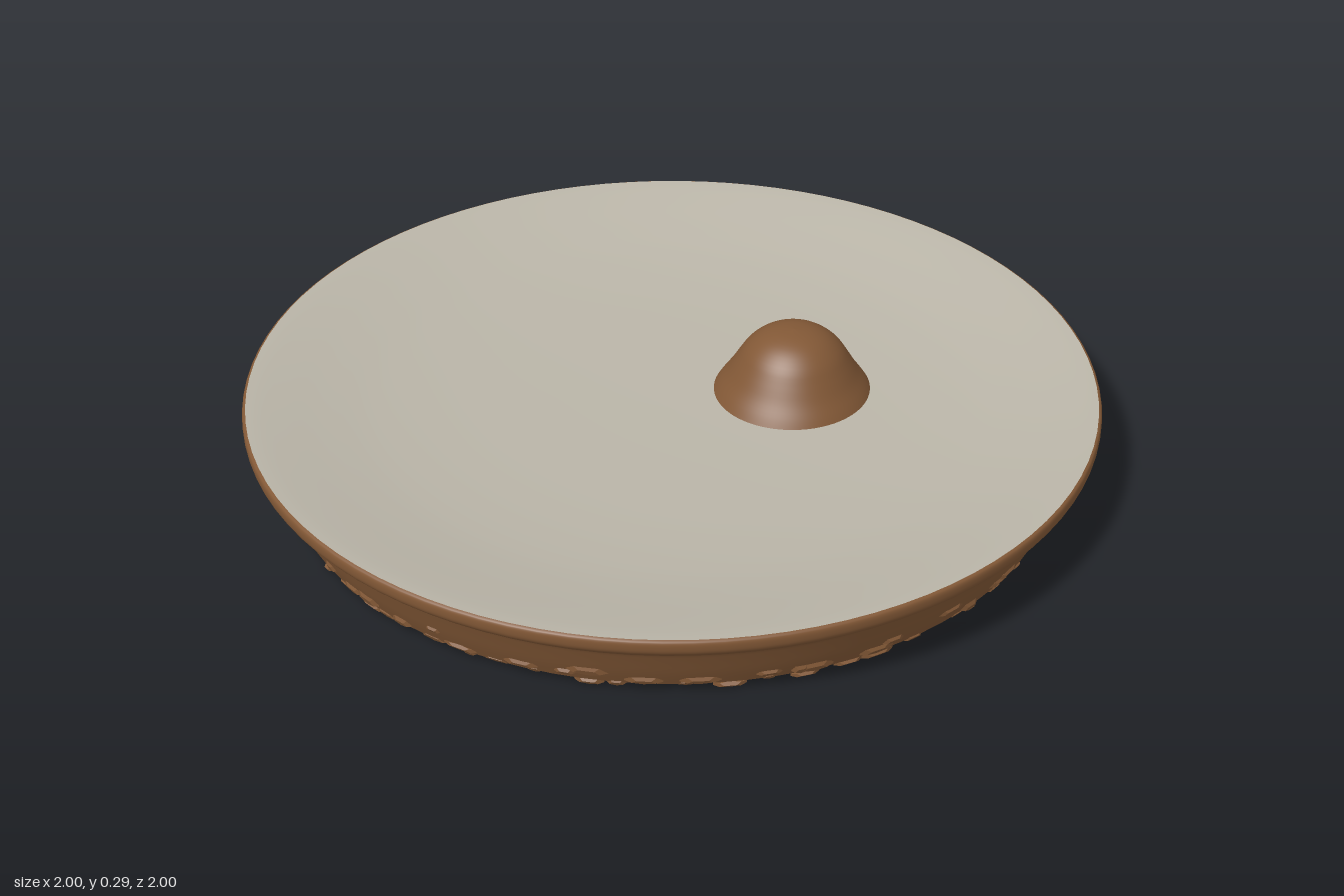
import * as THREE from 'three';

const SEGMENTS = 96;

const clay = new THREE.MeshStandardMaterial({ color: 0x825836 });
clay.name = 'brown clay';
const glaze = new THREE.MeshStandardMaterial({ color: 0xbab5a8 });
glaze.name = 'pale glaze';

// Seeded random numbers for the rough clay
function makeRandom(seed) {
  return () => {
    seed = (seed * 16807) % 2147483647;
    return seed / 2147483647;
  };
}

// Surface of revolution through a smooth curve of [radius, height] points.
// Points run upward for outer faces and inward for faces looking up.
function turned(name, points, material, divisions) {
  const curve = new THREE.SplineCurve(points.map(([r, y]) => new THREE.Vector2(r, y)));
  const mesh = new THREE.Mesh(new THREE.LatheGeometry(curve.getPoints(divisions), SEGMENTS), material);
  mesh.name = name;
  return mesh;
}

export function createModel() {
  const model = new THREE.Group();
  model.name = 'dish';
  const random = makeRandom(41);

  // Outer wall flaring up to a rolled rim
  model.add(turned('outerWall', [
    [0.908, 0.02], [0.926, 0.06], [0.945, 0.11], [0.957, 0.135],
    [0.982, 0.152], [0.997, 0.168], [1, 0.185], [0.998, 0.196], [0.992, 0.2],
  ], clay, 28));

  // Flat underside
  const base = new THREE.Mesh(new THREE.CircleGeometry(0.908, SEGMENTS), clay);
  base.name = 'underside';
  base.rotation.x = Math.PI / 2;
  base.position.y = 0.02;
  model.add(base);

  // Shallow glazed hollow
  model.add(turned('glazedHollow', [
    [0.992, 0.2], [0.96, 0.196], [0.9, 0.185], [0.8, 0.166],
    [0.68, 0.148], [0.5, 0.134], [0.25, 0.127], [0, 0.125],
  ], glaze, 32));

  // Off-centre domed knob with a softly flared foot
  const knob = turned('knob', [
    [0.19, 0.122], [0.176, 0.145], [0.155, 0.175], [0.134, 0.21],
    [0.112, 0.243], [0.08, 0.27], [0.042, 0.285], [0, 0.29],
  ], clay, 24);
  knob.position.set(0.29, 0, 0.08);
  model.add(knob);

  // Rough crumbs of clay around the foot, and flakes a little higher up the wall
  const crumbs = new THREE.Group();
  crumbs.name = 'roughFoot';
  const crumbGeometry = new THREE.DodecahedronGeometry(1, 0);
  const addCrumb = (angle, radius, y, depth, height, width) => {
    const crumb = new THREE.Mesh(crumbGeometry, clay);
    crumb.name = 'crumb';
    crumb.scale.set(depth, height, width);
    crumb.position.set(Math.cos(angle) * radius, y, Math.sin(angle) * radius);
    crumb.rotation.y = -angle;
    crumbs.add(crumb);
  };
  for (let i = 0; i < 60; i++) {
    const angle = ((i + random() * 0.8) / 60) * Math.PI * 2;
    const height = 0.007 + random() * 0.007;
    addCrumb(angle, 0.9, height + 0.002 + random() * 0.012, 0.012, height, 0.015 + random() * 0.03);
    const y = 0.03 + random() * 0.035;
    addCrumb(angle + random() * 0.1, 0.9 + y * 0.38, y, 0.009, 0.008 + random() * 0.008, 0.02 + random() * 0.03);
  }
  model.add(crumbs);

  return model;
}
